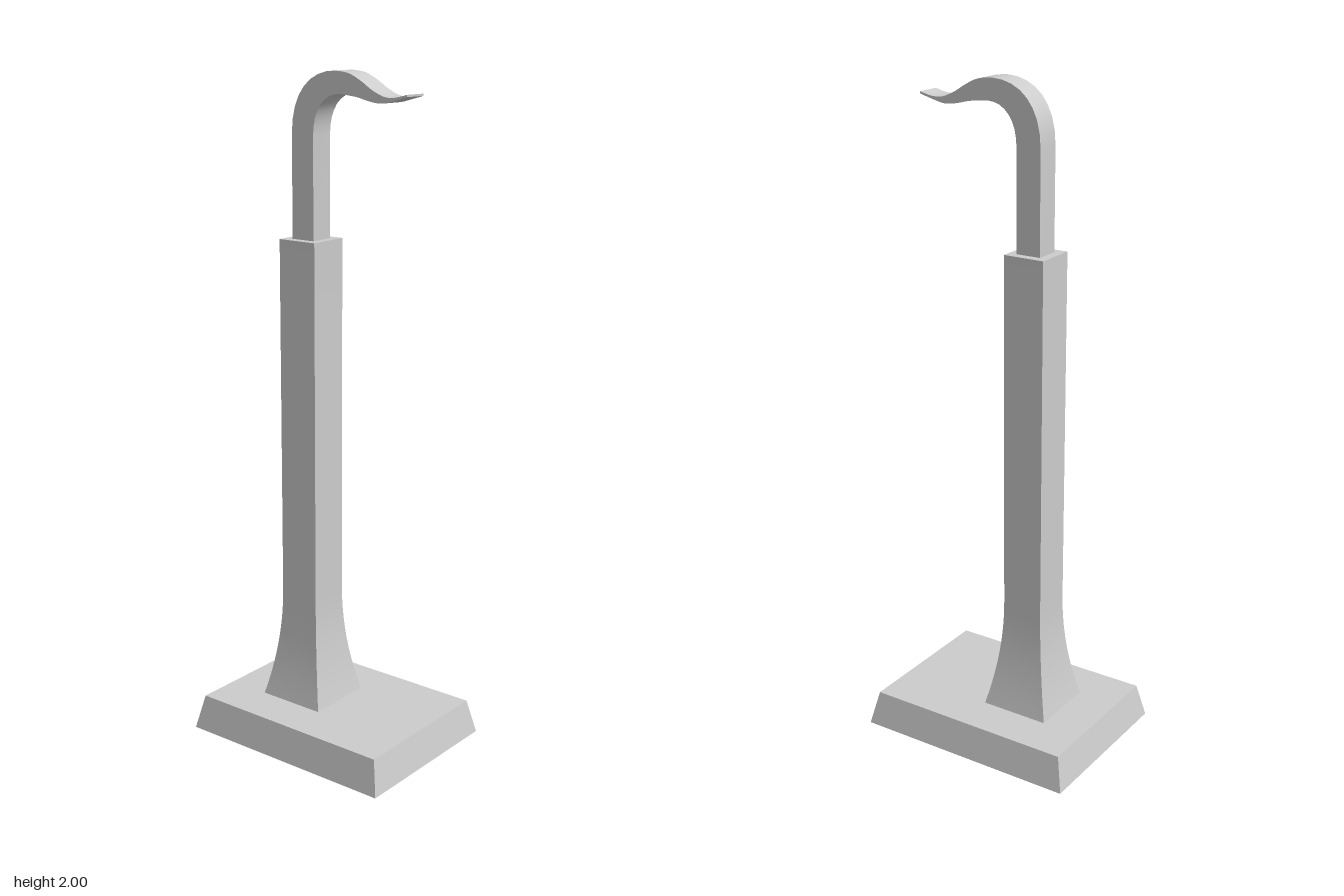
import * as THREE from 'three';
import { toCreasedNormals } from 'three/addons/utils/BufferGeometryUtils.js';

const material = new THREE.MeshStandardMaterial({ color: 0xcccccc });

function addPart(group, name, geometry) {
  const mesh = new THREE.Mesh(toCreasedNormals(geometry, 0.5), material);
  mesh.name = name;
  group.add(mesh);
  return mesh;
}

// Closed square-section solid from [half width, height] pairs, bottom to top
function squareTower(levels) {
  const points = [
    new THREE.Vector2(0, levels[0][1]),
    ...levels.map(([half, y]) => new THREE.Vector2(half * Math.SQRT2, y)),
    new THREE.Vector2(0, levels[levels.length - 1][1]),
  ];
  return new THREE.LatheGeometry(points, 4).rotateY(Math.PI / 4);
}

export function createModel() {
  const group = new THREE.Group();
  group.name = 'hookStand';

  // Base plate with sloping sides, stretched to a rectangle by a rule
  const base = squareTower([[1, 0], [0, 0.105]].map(([s, y]) => [s ? 1 : 0.9, y]));
  const p = base.attributes.position;
  for (let i = 0; i < p.count; i++) {
    const inset = p.getY(i) > 0.05 ? 0.023 : 0;
    const sx = Math.abs(p.getX(i)) > 0.1 ? Math.sign(p.getX(i)) : 0;
    const sz = Math.abs(p.getZ(i)) > 0.1 ? Math.sign(p.getZ(i)) : 0;
    p.setX(i, sx * (0.26 - inset));
    p.setZ(i, sz * (0.35 - inset));
  }
  addPart(group, 'base', base);

  // Square post with a flared foot
  const flare = [];
  for (let i = 0; i <= 10; i++) {
    const t = i / 10;
    flare.push([0.064 + 0.043 * (1 - t) ** 2, 0.105 + 0.345 * t]);
  }
  addPart(group, 'post', squareTower([...flare, [0.064, 1.525]])).position.z = -0.09;

  // Hook outline in the side plane (shape x runs towards the front)
  const v = (x, y) => new THREE.Vector2(x, y);
  const hook = new THREE.Shape();
  hook.moveTo(-0.05, 1.5);
  hook.lineTo(-0.05, 1.82);
  hook.bezierCurveTo(-0.05, 1.89, -0.015, 1.938, 0.045, 1.938);
  hook.splineThru([v(0.1, 1.932), v(0.15, 1.921), v(0.19, 1.918), v(0.23, 1.927), v(0.27, 1.938)]);
  hook.lineTo(0.27, 1.944);
  hook.splineThru([v(0.23, 1.935), v(0.195, 1.936), v(0.155, 1.952), v(0.115, 1.976), v(0.075, 1.994), v(0.03, 2)]);
  hook.bezierCurveTo(-0.06, 2, -0.127, 1.94, -0.127, 1.82);
  hook.lineTo(-0.127, 1.5);
  hook.closePath();
  const width = 0.076;
  const hookGeometry = new THREE.ExtrudeGeometry(hook, { depth: width, bevelEnabled: false, curveSegments: 8 });
  hookGeometry.translate(0, 0, -width / 2).rotateY(-Math.PI / 2);
  addPart(group, 'hook', hookGeometry);

  return group;
}
